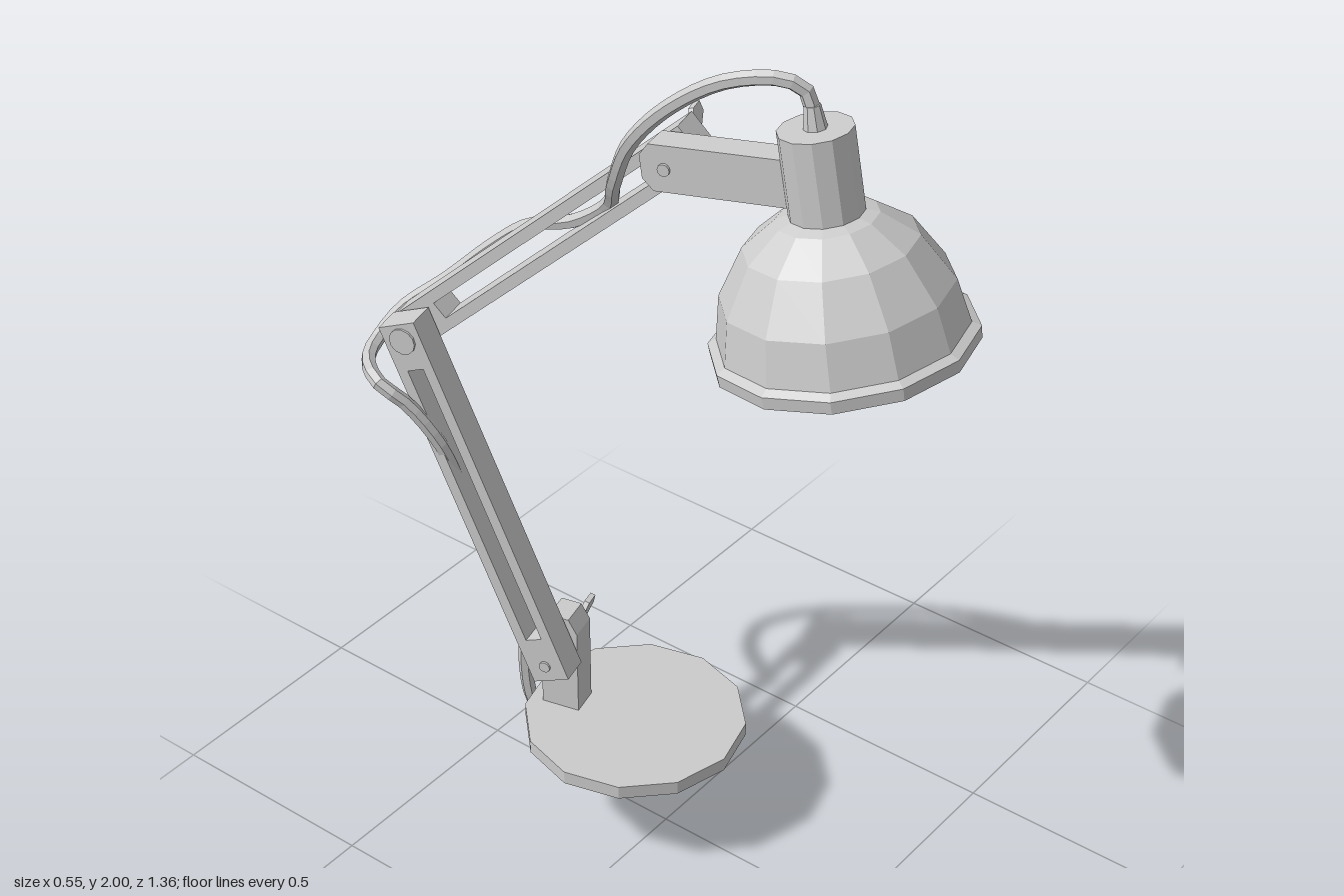
import * as THREE from 'three';

const mat = new THREE.MeshStandardMaterial({ color: 0xcccccc, flatShading: true, side: THREE.DoubleSide });
const YAW = 0.236;        // the arms fold in a plane turned about y
const THICK = 0.066;      // thickness of arms, post and bracket
const OUTER = 0.016, INNER = -0.054; // the two side-by-side planes
// pivots as [forward, up] in the folding plane
const SHOULDER = [-0.25, 0.43], ELBOW = [-0.558, 1.193], WRIST = [0.035, 1.738];

function add(parent, name, geometry) {
  const mesh = new THREE.Mesh(geometry, mat);
  mesh.name = name;
  parent.add(mesh);
  return mesh;
}

const polygon = (pts) => new THREE.Shape(pts.map(([x, y]) => new THREE.Vector2(x, y)));

// side profile (x forward, y up) given a thickness across the plane
function plate(shape, depth, tilt = 0) {
  return new THREE.ExtrudeGeometry(shape, { depth, bevelEnabled: false })
    .translate(0, 0, -depth / 2).rotateZ(tilt).rotateY(-Math.PI / 2);
}

// slotted arm between two pivots
function arm(parent, name, a, b, side) {
  const du = b[0] - a[0], dy = b[1] - a[1], len = Math.hypot(du, dy);
  const end = 0.038, half = 0.045, slot = 0.02, block = 0.07;
  const shape = polygon([[-end, -half], [len + end, -half], [len + end, half], [-end, half]]);
  shape.holes.push(new THREE.Path([
    [block, -slot], [block, slot], [len - block, slot], [len - block, -slot],
  ].map(([x, y]) => new THREE.Vector2(x, y))));
  add(parent, name, plate(shape, THICK, Math.atan2(dy, du))).position.set(side, a[1], a[0]);
}

// cylinder across the plane at a pivot
function bolt(parent, name, pivot, r, from, to) {
  add(parent, name, new THREE.CylinderGeometry(r, r, to - from, 12).rotateZ(Math.PI / 2))
    .position.set((from + to) / 2, pivot[1], pivot[0]);
}

function wingNut(parent, name, pivot, side, turn) {
  const nut = new THREE.Group();
  nut.name = name;
  nut.position.set(side, pivot[1], pivot[0]);
  nut.rotation.x = turn;
  parent.add(nut);
  add(nut, 'nutHub', new THREE.CylinderGeometry(0.012, 0.02, 0.03, 8).rotateZ(-Math.PI / 2));
  for (const s of [1, -1]) {
    const wing = polygon([[-0.01, 0], [0.012, 0], [0.045, 0.03 * s], [0.042, 0.052 * s], [0.012, 0.05 * s], [-0.008, 0.022 * s]]);
    add(nut, 'nutWing', new THREE.ExtrudeGeometry(wing, { depth: 0.012, bevelEnabled: false }).translate(0, 0, -0.006));
  }
}

export function createModel() {
  const lamp = new THREE.Group();
  lamp.name = 'deskLamp';

  // base disc
  add(lamp, 'base', new THREE.CylinderGeometry(0.248, 0.248, 0.032, 12)).position.set(0.004, 0.25, -0.09);

  // folding stand
  const stand = new THREE.Group();
  stand.name = 'stand';
  stand.rotation.y = YAW;
  lamp.add(stand);

  add(stand, 'post', plate(polygon([
    [-0.044, 0.255], [0.044, 0.255], [0.044, 0.48], [0.024, 0.515], [-0.024, 0.515], [-0.044, 0.48],
  ]), THICK)).position.set(OUTER, 0, SHOULDER[0]);
  arm(stand, 'lowerArm', SHOULDER, ELBOW, INNER);
  arm(stand, 'upperArm', ELBOW, WRIST, OUTER);

  // head bracket, pointing up and forward from the wrist
  const bracket = add(stand, 'headBracket', plate(polygon([
    [-0.05, -0.025], [-0.028, -0.05], [0.28, -0.05], [0.28, 0.05], [-0.028, 0.05], [-0.05, 0.025],
  ]), 0.06, 0.135));
  bracket.position.set(INNER, WRIST[1], WRIST[0]);
  bracket.rotation.y = -0.06;

  // joint bolts and wing nuts
  bolt(stand, 'elbowBolt', ELBOW, 0.03, -0.092, 0.054);
  bolt(stand, 'shoulderBolt', SHOULDER, 0.013, -0.092, 0.1);
  bolt(stand, 'wristBolt', WRIST, 0.013, -0.09, 0.08);
  wingNut(stand, 'shoulderWingNut', SHOULDER, 0.088, 0.25);
  wingNut(stand, 'wristWingNut', WRIST, 0.066, -0.35);

  // lamp head, built on a vertical axis from the rim and then tilted
  const rim = new THREE.Vector3(0.012, 1.45, 0.423), top = new THREE.Vector3(0.005, 1.892, 0.344);
  const head = new THREE.Group();
  head.name = 'head';
  head.position.copy(rim);
  head.quaternion.setFromUnitVectors(new THREE.Vector3(0, 1, 0), top.clone().sub(rim).normalize());
  lamp.add(head);

  const profile = [
    [0.05, 0.268], [0.09, 0.255], [0.155, 0.205], [0.212, 0.115], [0.23, 0.02], [0.235, -0.008],
    [0.262, -0.008], [0.264, 0.018], [0.246, 0.028], [0.228, 0.12], [0.17, 0.217], [0.1, 0.27], [0.05, 0.285],
  ].map(([r, y]) => new THREE.Vector2(r, y));
  add(head, 'shade', new THREE.LatheGeometry(profile, 12));
  add(head, 'socket', new THREE.CylinderGeometry(0.074, 0.074, 0.19, 12)).position.y = 0.354;
  add(head, 'cableGland', new THREE.CylinderGeometry(0.016, 0.024, 0.05, 8)).position.y = 0.47;
  add(head, 'bulb', new THREE.SphereGeometry(0.083, 12, 8));
  add(head, 'bulbNeck', new THREE.CylinderGeometry(0.045, 0.058, 0.22, 12)).position.y = 0.16;

  // cable, woven through the slots of both arms
  const path = [
    [0.004, 1.9, 0.342], [0.003, 1.96, 0.325], [-0.02, 1.984, 0.29], [-0.06, 1.965, 0.19],
    [-0.083, 1.886, 0.077], [-0.085, 1.775, -0.02], [-0.055, 1.65, -0.085], [-0.005, 1.56, -0.14],
    [-0.005, 1.49, -0.23], [-0.012, 1.447, -0.336], [-0.014, 1.37, -0.43], [-0.04, 1.25, -0.55],
    [-0.09, 1.17, -0.635], [-0.14, 1.115, -0.66], [-0.21, 1.105, -0.63], [-0.26, 1.1, -0.555],
    [-0.23, 1.05, -0.505], [-0.19, 0.95, -0.455], [-0.145, 0.8, -0.425], [-0.1, 0.68, -0.375],
    [-0.04, 0.595, -0.35], [-0.01, 0.52, -0.37], [0.007, 0.42, -0.395], [0.01, 0.25, -0.414],
    [0.025, 0.125, -0.405], [0.07, 0.04, -0.373], [0.105, 0.02, -0.34], [0.135, 0.025, -0.315],
  ].map((p) => new THREE.Vector3(...p));
  add(lamp, 'cable', new THREE.TubeGeometry(new THREE.CatmullRomCurve3(path), 90, 0.016, 6));

  return lamp;
}
